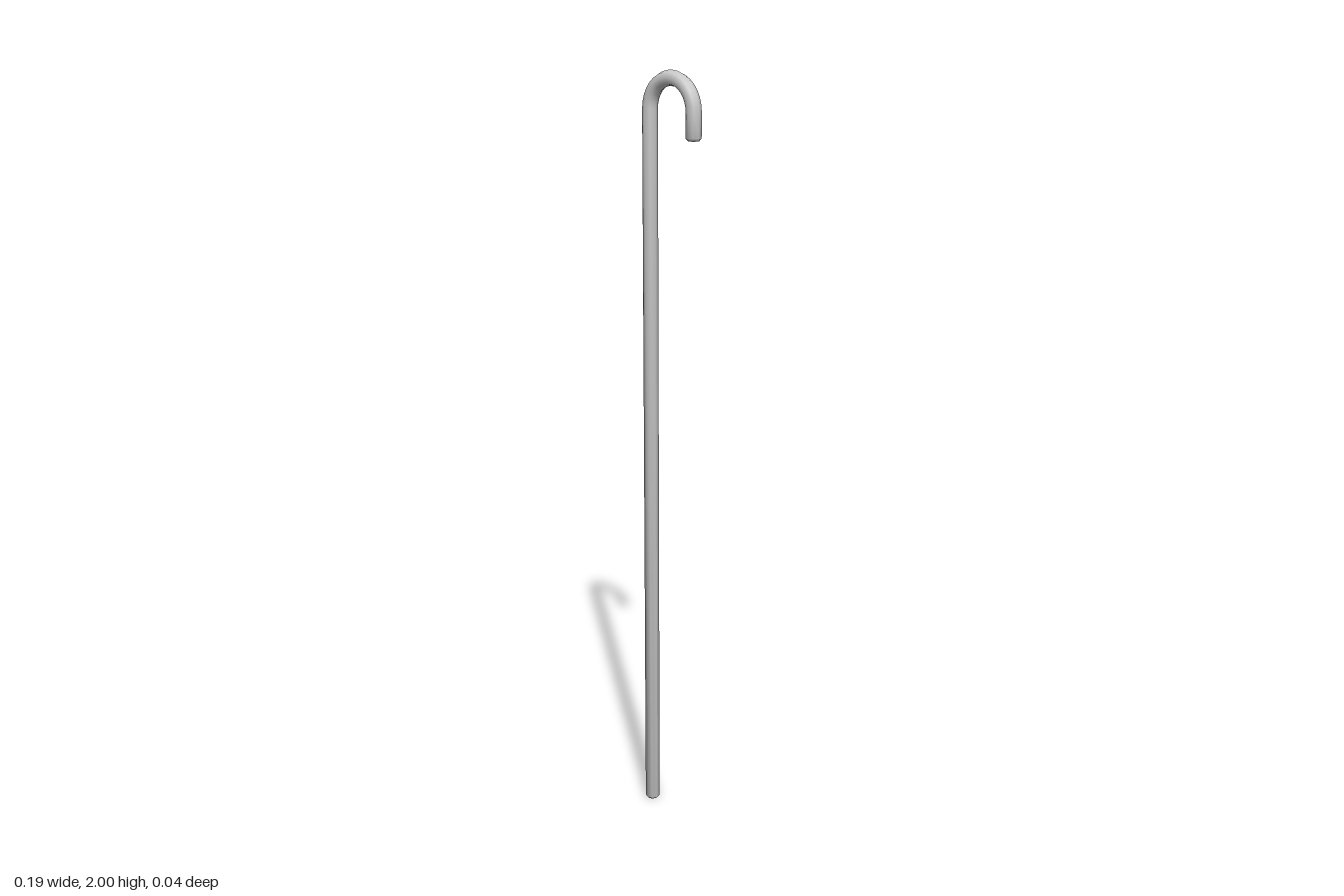
import * as THREE from 'three';
import { toCreasedNormals } from 'three/addons/utils/BufferGeometryUtils.js';

const SIDES = 8;
const ROD = 0.0195;          // rod radius
const BEND = 0.077;          // bend radius of the crook
const BEND_Y = 2 - ROD - BEND;
const TIP_Y = 1.835;
const BEVEL = 0.006;
const BEND_STEPS = 16;

// Sweeps an octagon along rings of { x, y, angle, r }, all lying in the plane z = 0
function sweep(rings) {
  const pos = [];
  const index = [];
  for (const { x, y, angle, r } of rings) {
    for (let j = 0; j < SIDES; j++) {
      const phi = (j / SIDES) * Math.PI * 2;
      const out = r * Math.cos(phi);
      pos.push(x + out * Math.cos(angle), y + out * Math.sin(angle), r * Math.sin(phi));
    }
  }
  for (let i = 0; i < rings.length - 1; i++) {
    for (let j = 0; j < SIDES; j++) {
      const k = (j + 1) % SIDES;
      const a = i * SIDES + j, b = i * SIDES + k;
      const c = a + SIDES, d = b + SIDES;
      if (rings[i].r > 0) index.push(a, b, c);
      if (rings[i + 1].r > 0) index.push(b, d, c);
    }
  }
  const geometry = new THREE.BufferGeometry();
  geometry.setAttribute('position', new THREE.Float32BufferAttribute(pos, 3));
  geometry.setIndex(index);
  return toCreasedNormals(geometry, 0.9);
}

export function createModel() {
  const group = new THREE.Group();
  group.name = 'cane';

  // Closed, slightly bevelled end: centre, rim of the flat, full radius
  const end = (x, y, angle) => [
    { x, y, angle, r: 0 },
    { x, y, angle, r: ROD - BEVEL },
    { x, y: y + BEVEL, angle, r: ROD },
  ];

  // Straight shaft, then the half-circle crook, then the short tip
  const rings = end(-BEND, 0, Math.PI);
  for (let i = 0; i <= BEND_STEPS; i++) {
    const angle = Math.PI * (1 - i / BEND_STEPS);
    rings.push({
      x: BEND * Math.cos(angle),
      y: BEND_Y + BEND * Math.sin(angle),
      angle,
      r: ROD,
    });
  }
  rings.push(...end(BEND, TIP_Y, 0).reverse());

  const cane = new THREE.Mesh(sweep(rings), new THREE.MeshStandardMaterial({ color: 0xcccccc }));
  cane.name = 'shaftAndCrook';
  group.add(cane);
  return group;
}
